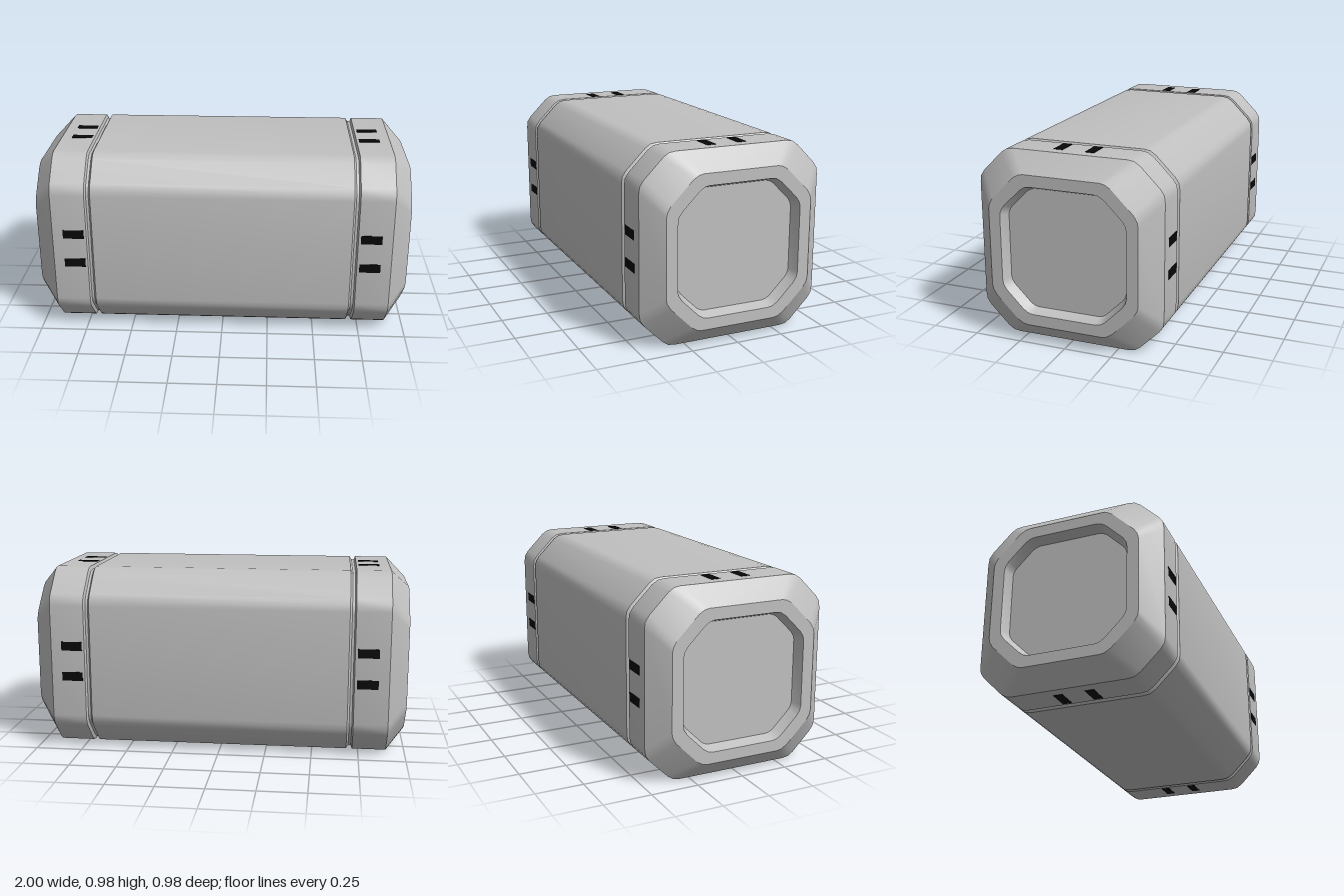
import * as THREE from 'three';
import { toCreasedNormals } from 'three/addons/utils/BufferGeometryUtils.js';

// Half corners of each rounded octagon: [distance along the side, distance from the axis]
const OUTER = [[0.30, 0.49], [0.335, 0.485], [0.365, 0.465]];
const RIM = [[0.20, 0.393], [0.225, 0.388], [0.255, 0.37]];
const OPENING = [[0.17, 0.333], [0.195, 0.328], [0.222, 0.31]];
const FLOOR = [[0.165, 0.312], [0.185, 0.307], [0.205, 0.295]];

// Full ring at x: one corner, mirrored and turned through four quarters
function ring(x, corner, scale = 1) {
  let points = corner.map(([a, h]) => [h, a]);
  points = points.concat([...corner].reverse());
  const out = [];
  for (let q = 0; q < 4; q++) {
    points.forEach(([y, z]) => out.push([x, y * scale, z * scale]));
    points = points.map(([y, z]) => [-z, y]);
  }
  return out;
}

// Skin a row of rings; closed ends in a fan to the axis
function skin(rings, closed) {
  const pos = [];
  const tri = (...corners) => corners.forEach((p) => pos.push(...p));
  for (let i = 0; i < rings.length - 1; i++) {
    const A = rings[i], B = rings[i + 1];
    for (let j = 0; j < A.length; j++) {
      const k = (j + 1) % A.length;
      tri(A[j], A[k], B[k]);
      tri(A[j], B[k], B[j]);
    }
  }
  if (closed) {
    const last = rings[rings.length - 1];
    const centre = [last[0][0], 0, 0];
    last.forEach((p, j) => tri(p, last[(j + 1) % last.length], centre));
  }
  const geo = new THREE.BufferGeometry();
  geo.setAttribute('position', new THREE.Float32BufferAttribute(pos, 3));
  return toCreasedNormals(geo, 0.6);
}

export function createModel() {
  const grey = new THREE.MeshStandardMaterial({ color: 0xc0c0c0 });
  grey.name = 'grey metal';
  const black = new THREE.MeshStandardMaterial({ color: 0x080808 });
  black.name = 'black';

  const model = new THREE.Group();
  model.name = 'container';
  const add = (parent, name, geo, mat) => {
    const mesh = new THREE.Mesh(geo, mat);
    mesh.name = name;
    parent.add(mesh);
    return mesh;
  };

  // Long middle body with bevelled ends that run into the grooves
  const body = add(model, 'body', skin([
    ring(-0.712, OUTER, 0.965), ring(-0.698, OUTER, 0.965), ring(-0.687, OUTER),
    ring(0.687, OUTER), ring(0.698, OUTER, 0.965), ring(0.712, OUTER, 0.965),
  ]), grey);
  body.position.y = 0.5;

  // End cap: groove lip, band, bevel, rim, recess wall and recess floor
  const capGeo = skin([
    ring(0.712, OUTER, 0.965), ring(0.719, OUTER), ring(0.9, OUTER),
    ring(1, RIM), ring(1, OPENING), ring(0.945, FLOOR),
  ], true);
  const slotGeo = new THREE.BoxGeometry(0.112, 0.006, 0.048);

  for (const side of [1, -1]) {
    const end = new THREE.Group();
    end.name = side > 0 ? 'leftEnd' : 'rightEnd';
    end.position.y = 0.5;
    if (side < 0) end.rotation.y = Math.PI;
    model.add(end);
    add(end, 'endCap', capGeo, grey);

    // Two dark slots on each of the four sides
    for (let q = 0; q < 4; q++) {
      const pair = new THREE.Group();
      pair.name = 'slotPair';
      pair.rotation.x = q * Math.PI / 2;
      end.add(pair);
      for (const z of [-0.083, 0.083]) {
        add(pair, 'slot', slotGeo, black).position.set(0.788, 0.489, z);
      }
    }
  }
  return model;
}
